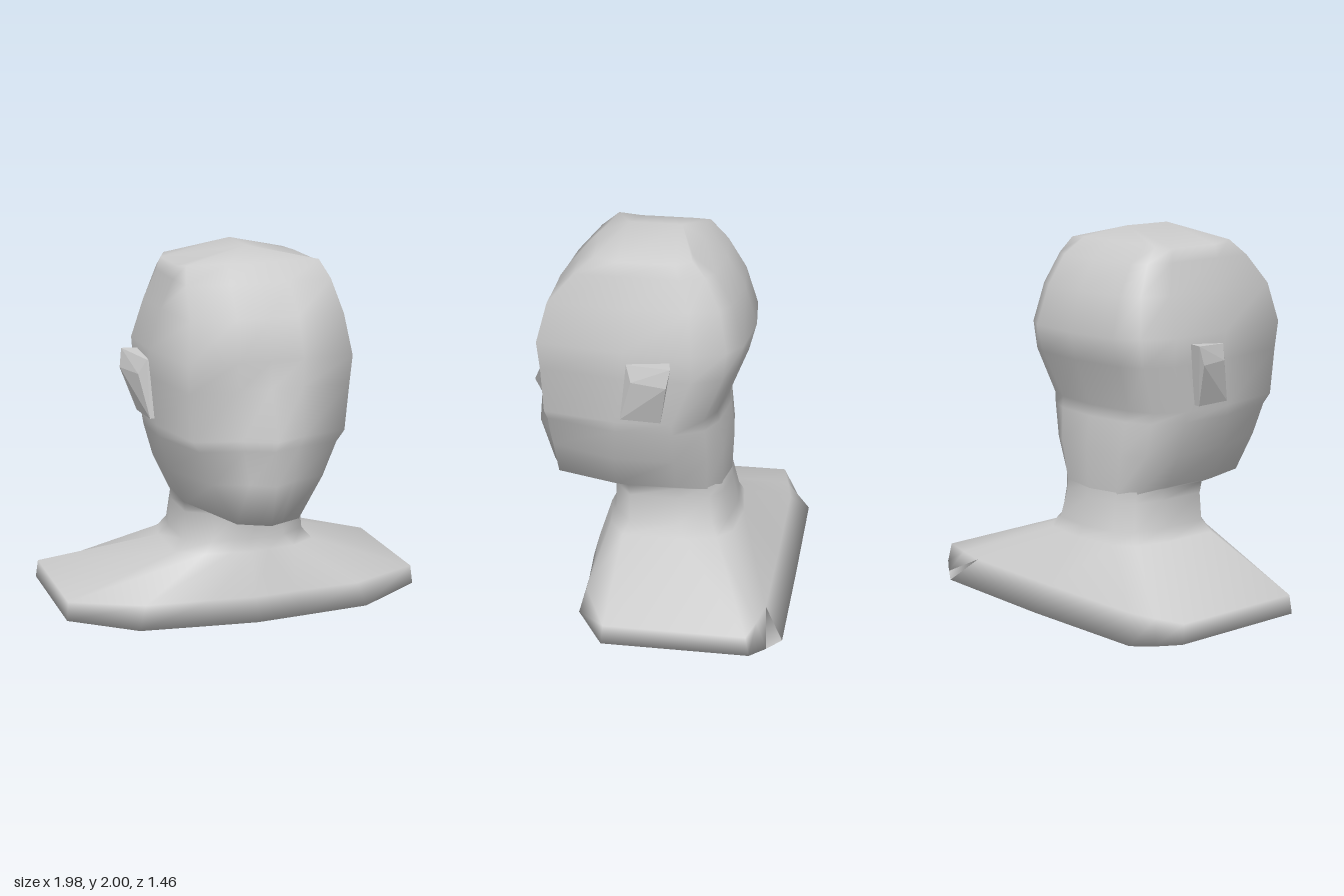
import * as THREE from 'three';
import { mergeVertices } from 'three/addons/utils/BufferGeometryUtils.js';
import { ConvexGeometry } from 'three/addons/geometries/ConvexGeometry.js';

const material = new THREE.MeshStandardMaterial({ color: 0xcccccc, side: THREE.DoubleSide });

// Cross-sections from the base to the crown:
// y, side lift, front z, front corner x, z, half width, side front z, side back z, back corner x, back z
const SECTIONS = [
  [0, 0.04, 0.42, 0.64, 0.375, 0.99, 0.19, -0.58, 0.76, -0.73],   // shoulder rim
  [0.13, 0.01, 0.385, 0.6, 0.34, 0.98, 0.18, -0.56, 0.64, -0.63], // shoulder top
  [0.36, 0, 0.31, 0.25, 0.27, 0.39, 0.18, -0.15, 0.25, -0.43],    // neck root
  [0.42, 0, 0.28, 0.2, 0.25, 0.34, 0.15, -0.12, 0.22, -0.4],
  [0.57, 0, 0.29, 0.18, 0.25, 0.325, 0.15, -0.12, 0.2, -0.365],
  [0.63, 0, 0.32, 0.2, 0.28, 0.33, 0.16, -0.12, 0.2, -0.36],      // under the jaw
  [0.6, 0.04, 0.63, 0.17, 0.57, 0.34, 0.22, -0.1, 0.2, -0.36],    // chin
  [0.83, 0, 0.705, 0.3, 0.57, 0.43, 0.22, -0.1, 0.24, -0.37],     // mouth
  [1.01, 0, 0.69, 0.37, 0.58, 0.48, 0.2, -0.1, 0.26, -0.35],
  [1.07, 0, 0.73, 0.41, 0.59, 0.49, 0.2, -0.1, 0.27, -0.34],      // nose tip
  [1.32, 0, 0.62, 0.43, 0.6, 0.505, 0.15, -0.2, 0.31, -0.44],     // eyes
  [1.47, 0, 0.62, 0.44, 0.615, 0.515, 0.15, -0.2, 0.31, -0.48],   // brow
  [1.68, 0, 0.575, 0.41, 0.56, 0.45, 0.15, -0.18, 0.29, -0.415],
  [1.84, 0, 0.45, 0.39, 0.42, 0.395, 0.2, -0.12, 0.27, -0.32],
  [1.93, -0.02, 0.37, 0.36, 0.32, 0.375, 0.2, -0.1, 0.25, -0.2],  // crown edge
].concat([[2, 0, 0.2, 0, 0.2, 0, 0.2, -0.08, 0, -0.08]]);         // crown ridge

// A full ring, running from the front round the left side, the back and the right side
function ring([y, lift, zF, xC, zC, w, zS, zSB, xB, zB]) {
  const bulge = 0.2 * w * (1 - w);
  const zBC = zB + 0.6 * bulge;
  const half = [
    [0, y, zF],
    [xC * 0.4, y, zF + (zC - zF) * 0.55],
    [xC, y + lift * 0.2, zC],
    [w, y + lift, zS],
    [w, y + lift, zSB],
    [(w + xB) / 2 + bulge * 0.5, y + lift * 0.5, (zSB + zBC) / 2 - bulge],
    [xB, y + lift * 0.2, zBC],
    [0, y, zB],
  ];
  const mirrored = half.slice(1, -1).reverse().map(([x, py, z]) => [-x, py, z]);
  return half.concat(mirrored);
}

// Skin stretched over the rings, closed below
function bustGeometry() {
  const rings = SECTIONS.map(ring);
  const n = rings[0].length;
  const positions = rings.flat(2);
  const index = [];
  for (let i = 0; i < rings.length - 1; i++) {
    for (let j = 0; j < n; j++) {
      const a = i * n + j, b = i * n + (j + 1) % n;
      index.push(a, b, b + n, a, b + n, a + n);
    }
  }
  const center = positions.length / 3;
  positions.push(0, 0.01, -0.15);
  for (let j = 0; j < n; j++) index.push(center, (j + 1) % n, j);

  let geometry = new THREE.BufferGeometry();
  geometry.setAttribute('position', new THREE.Float32BufferAttribute(positions, 3));
  geometry.setIndex(index);
  geometry = mergeVertices(geometry);
  geometry.computeVertexNormals();
  return geometry;
}

// Ear: a wedge flaring outwards towards its upper back edge
function ear(side) {
  const points = [
    [0.52, 1.41, 0.13], [0.595, 1.43, -0.11], [0.61, 1.33, -0.09], [0.56, 1.33, 0.1],
    [0.515, 1.1, 0.165], [0.53, 1.1, -0.05],
    [0.45, 1.41, 0.13], [0.45, 1.43, -0.08], [0.45, 1.1, 0.165], [0.45, 1.1, -0.04],
  ].map(([x, y, z]) => new THREE.Vector3(side * x, y, z));
  const mesh = new THREE.Mesh(new ConvexGeometry(points), material);
  mesh.name = side > 0 ? 'leftEar' : 'rightEar';
  return mesh;
}

export function createModel() {
  const group = new THREE.Group();
  group.name = 'headBust';
  const bust = new THREE.Mesh(bustGeometry(), material);
  bust.name = 'headNeckAndShoulders';
  group.add(bust, ear(1), ear(-1));
  return group;
}
